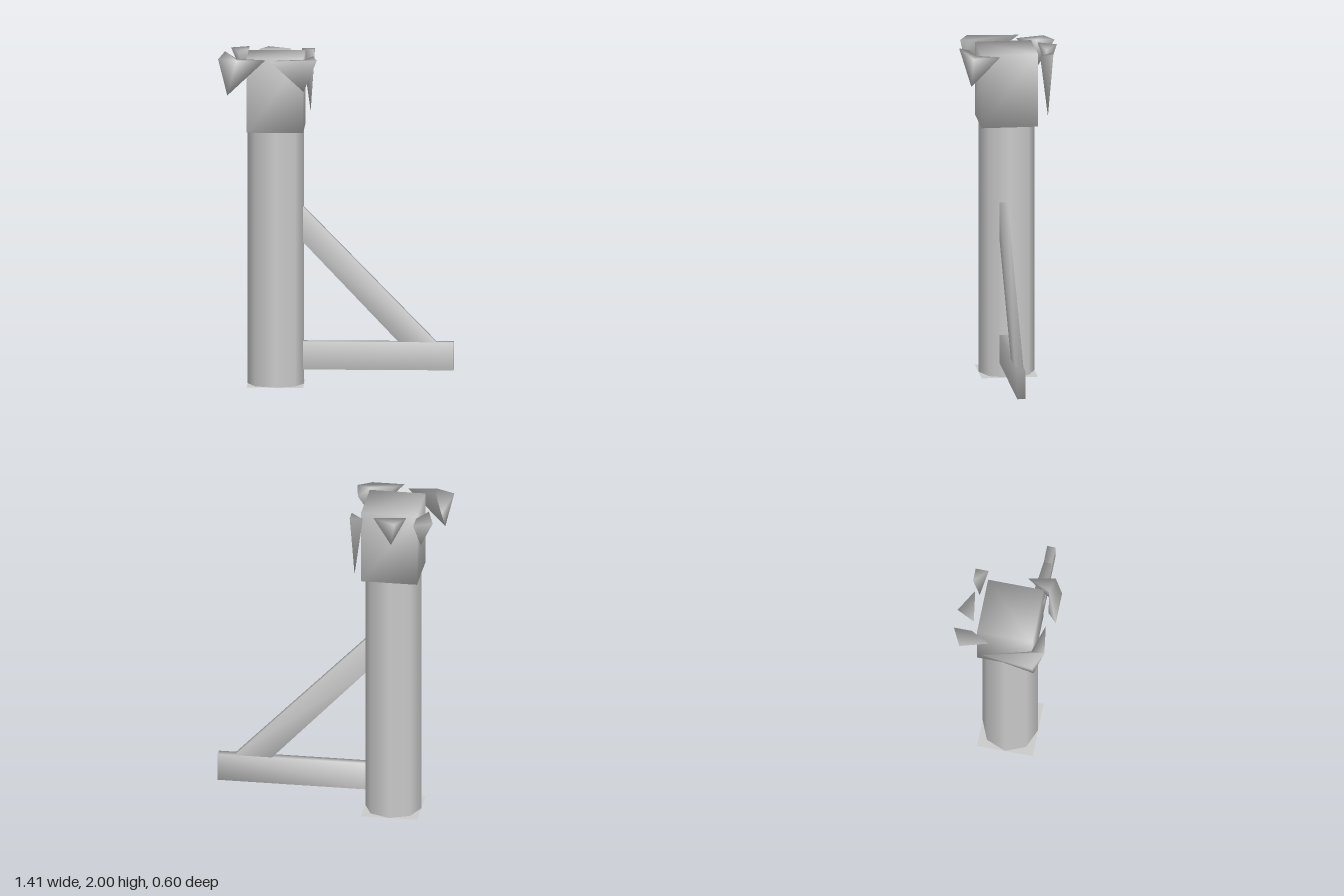
import * as THREE from 'three';
import { mergeVertices } from 'three/addons/utils/BufferGeometryUtils.js';

const material = new THREE.MeshStandardMaterial({ color: 0xcccccc });
const sheetMaterial = new THREE.MeshStandardMaterial({ color: 0xcccccc, side: THREE.DoubleSide });

// Weld corners so that the shading runs smoothly over the edges
function welded(geometry) {
  geometry.deleteAttribute('uv');
  geometry.deleteAttribute('normal');
  const g = mergeVertices(geometry, 1e-4);
  g.computeVertexNormals();
  return g;
}

function mesh(name, geometry, mat = material) {
  const m = new THREE.Mesh(geometry, mat);
  m.name = name;
  return m;
}

// Flat beam cut from an outline in the xy plane
function beam(name, outline) {
  const shape = new THREE.Shape(outline.map(([x, y]) => new THREE.Vector2(x, y)));
  const g = new THREE.ExtrudeGeometry(shape, { depth: 0.05, bevelEnabled: false });
  g.translate(0, 0, 0.025);
  return mesh(name, welded(g));
}

// Hanging shard: flat outline (x, z) at the top, running down to one tip
function shard(outline, tip) {
  const ring = outline.map(([x, z]) => new THREE.Vector2(x, z));
  if (THREE.ShapeUtils.area(ring) < 0) ring.reverse();
  const n = ring.length;
  const positions = ring.flatMap((p) => [p.x, 2, p.y]).concat(tip);
  const index = [];
  for (const [a, b, c] of THREE.ShapeUtils.triangulateShape(ring, [])) index.push(a, c, b);
  for (let i = 0; i < n; i++) index.push(i, (i + 1) % n, n);
  const g = new THREE.BufferGeometry();
  g.setAttribute('position', new THREE.Float32BufferAttribute(positions, 3));
  g.setIndex(index);
  g.computeVertexNormals();
  return mesh('shard', g);
}

export function createModel() {
  const model = new THREE.Group();
  model.name = 'bracedPost';
  const cx = -0.365, cz = 0.012, width = 0.34;

  // Eight-sided post on a thin square base
  const post = mesh('post', new THREE.CylinderGeometry(width / 2, width / 2, 1.55, 8, 1, true));
  post.position.set(cx, 0.775, cz);
  const base = mesh('basePlate', new THREE.PlaneGeometry(width, width).rotateX(Math.PI / 2), sheetMaterial);
  base.position.set(cx, 0, cz);

  // Square head block
  const head = mesh('headBlock', welded(new THREE.BoxGeometry(width, 0.45, width)));
  head.position.set(cx, 1.775, cz);
  model.add(post, base, head);

  // Side arm and diagonal brace
  model.add(
    beam('sideArm', [[-0.2, 0.095], [0.705, 0.095], [0.705, 0.265], [-0.2, 0.265]]),
    beam('diagonalBrace', [[-0.2, 0.87], [0.375, 0.265], [0.6, 0.265], [-0.2, 1.085]]),
  );

  // Loose shards around the head
  const shards = new THREE.Group();
  shards.name = 'shards';
  shards.add(
    shard([[-0.645, -0.245], [-0.535, -0.3], [-0.535, -0.19], [-0.595, -0.075]], [-0.565, 1.83, -0.2]),
    shard([[-0.42, -0.3], [-0.28, -0.22], [-0.475, -0.19]], [-0.39, 1.84, -0.24]),
    shard([[-0.22, -0.245], [-0.14, -0.245], [-0.14, -0.165]], [-0.165, 1.62, -0.215]),
    shard([[-0.675, -0.1], [-0.595, 0.185], [-0.42, 0.24], [-0.59, 0.265], [-0.705, 0.21]], [-0.65, 1.78, 0.21]),
    shard([[-0.14, 0.075], [-0.11, 0.24], [-0.195, 0.295], [-0.39, 0.295], [-0.335, 0.24], [-0.195, 0.215]],
      [-0.19, 1.81, 0.245]),
  );
  model.add(shards);
  return model;
}
